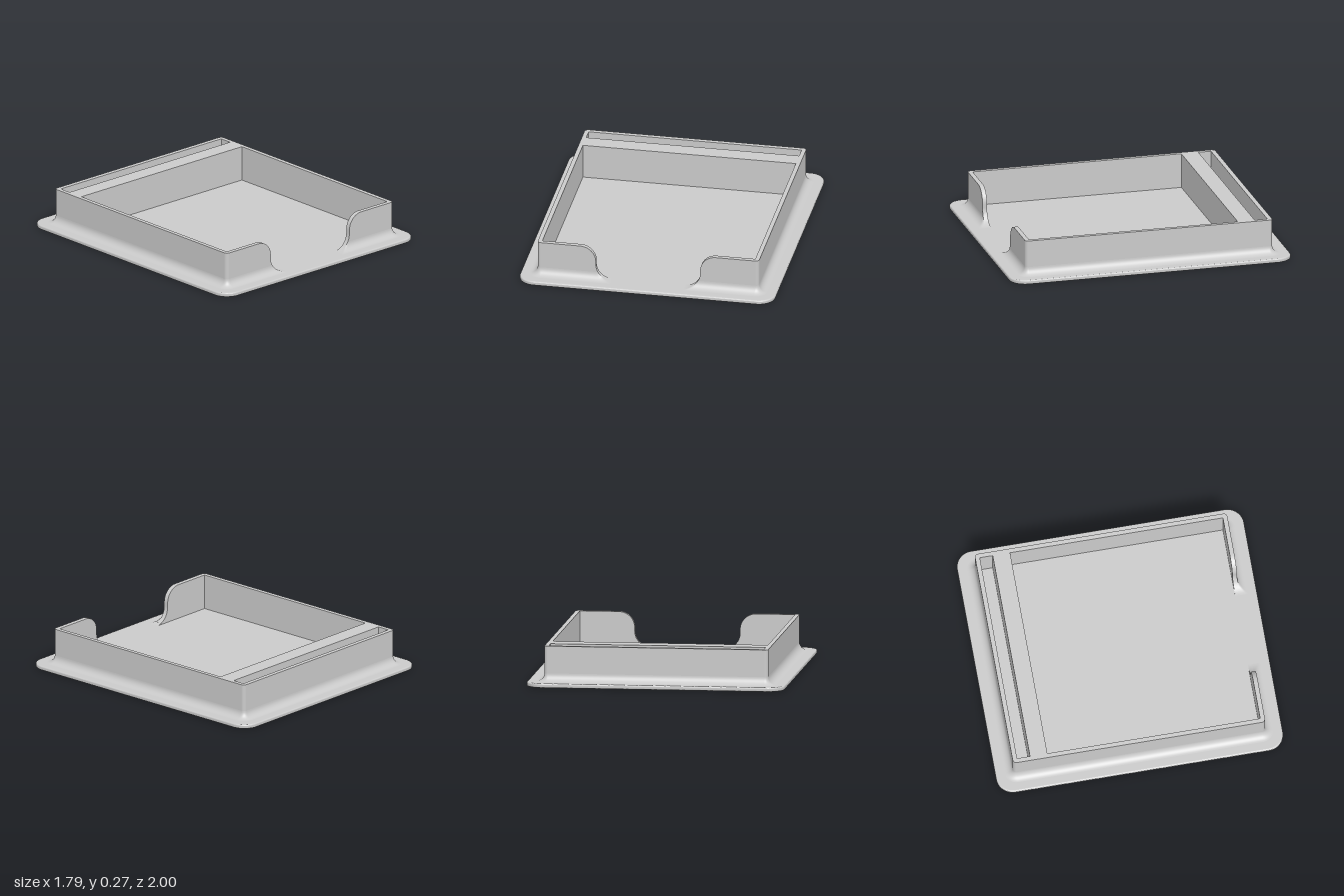
import * as THREE from 'three';

const FLOOR = 0.03, TOP = 0.274;            // plate top and rim height
const OX = 0.775, OZ = 0.88, OR = 0.025;    // outer wall
const IX = 0.745, IZ = 0.848, IBACK = -0.637; // inner tray
const CUT = 0.475, CR = 0.11, CLOW = 0.255; // front cutout curve
const FILLET = 0.055;

const grey = new THREE.MeshStandardMaterial({ color: 0xcacaca });
grey.name = 'light grey';

// Extrudes a plan shape (shape y = -z) upward from y0
function extrudeUp(shape, y0, depth, options = {}) {
  const g = new THREE.ExtrudeGeometry(shape, { depth, bevelEnabled: false, curveSegments: 20, ...options });
  return g.rotateX(-Math.PI / 2).translate(0, y0, 0);
}

function roundedRect(w, d, r) {
  const s = new THREE.Shape();
  s.absarc(w - r, d - r, r, 0, Math.PI / 2);
  s.absarc(r - w, d - r, r, Math.PI / 2, Math.PI);
  s.absarc(r - w, r - d, r, Math.PI, Math.PI * 1.5);
  s.absarc(w - r, r - d, r, Math.PI * 1.5, Math.PI * 2);
  s.closePath();
  return s;
}

// Height of the front lip at a given x
function lipHeight(x) {
  const a = Math.abs(x);
  if (a >= CUT) return TOP;
  if (a > CUT - CR) return TOP - CR + Math.sqrt(CR * CR - (CUT - a) ** 2);
  return FLOOR + CR - Math.sqrt(Math.max(0, CR * CR - (a - CLOW) ** 2));
}

// Rim: a C-shaped plan with the rear slot as a hole
function rimGeometry() {
  const s = new THREE.Shape();
  s.moveTo(CUT, -OZ).lineTo(OX - OR, -OZ);
  s.absarc(OX - OR, OR - OZ, OR, -Math.PI / 2, 0);
  s.absarc(OX - OR, OZ - OR, OR, 0, Math.PI / 2);
  s.absarc(OR - OX, OZ - OR, OR, Math.PI / 2, Math.PI);
  s.absarc(OR - OX, OR - OZ, OR, Math.PI, Math.PI * 1.5);
  s.lineTo(-CUT, -OZ).lineTo(-CUT, -IZ).lineTo(-IX, -IZ).lineTo(-IX, -IBACK);
  s.lineTo(IX, -IBACK).lineTo(IX, -IZ).lineTo(CUT, -IZ).closePath();
  const slot = new THREE.Path();
  slot.moveTo(-IX, 0.848).lineTo(IX, 0.848).lineTo(IX, 0.758).lineTo(-IX, 0.758).closePath();
  s.holes.push(slot);
  return extrudeUp(s, FLOOR, TOP - FLOOR);
}

// S-curved end of the front wall
function lipGeometry(side) {
  const s = new THREE.Shape();
  const steps = 20;
  s.moveTo(side * CUT, FLOOR).lineTo(side * CUT, TOP);
  for (let i = 1; i <= steps; i++) {
    const t = (i / steps) * Math.PI / 2;
    s.lineTo(side * (CUT - CR * Math.sin(t)), TOP - CR + CR * Math.cos(t));
  }
  for (let i = 0; i <= steps; i++) {
    const t = (i / steps) * Math.PI / 2;
    s.lineTo(side * (CLOW + CR * Math.cos(t)), FLOOR + CR - CR * Math.sin(t));
  }
  s.closePath();
  return new THREE.ExtrudeGeometry(s, { depth: OZ - IZ, bevelEnabled: false }).translate(0, 0, IZ);
}

// Concave fillet swept around the foot of the wall, trimmed by the cutout
function filletGeometry() {
  const half = [];
  for (let i = 0; i <= 40; i++) {
    half.push({ x: CLOW + (OX - OR - CLOW) * i / 40, z: OZ, nx: 0, nz: 1 });
  }
  for (const [cz, start] of [[OZ - OR, 0], [OR - OZ, Math.PI / 2]]) {
    for (let i = 0; i <= 8; i++) {
      const a = start + (i / 8) * Math.PI / 2;
      const nx = Math.sin(a), nz = Math.cos(a);
      half.push({ x: OX - OR + OR * nx, z: cz + OR * nz, nx, nz });
    }
  }
  const mirrored = half.map(p => ({ ...p, x: -p.x, nx: -p.nx })).reverse();
  const path = [...half, ...mirrored];
  const steps = 10, pos = [], index = [];
  path.forEach((p, i) => {
    for (let j = 0; j <= steps; j++) {
      const a = (j / steps) * Math.PI / 2;
      const d = FILLET * (1 - Math.cos(a));
      const y = FLOOR + FILLET * (1 - Math.sin(a));
      const limit = p.nz > 0.9 ? lipHeight(p.x) : TOP;
      pos.push(p.x + p.nx * d, Math.min(y, limit), p.z + p.nz * d);
      if (i < path.length - 1 && j < steps) {
        const q = i * (steps + 1) + j, r = q + steps + 1;
        index.push(q, q + 1, r, r, q + 1, r + 1);
      }
    }
  });
  const g = new THREE.BufferGeometry();
  g.setAttribute('position', new THREE.Float32BufferAttribute(pos, 3));
  g.setIndex(index);
  g.computeVertexNormals();
  return g;
}

export function createModel() {
  const group = new THREE.Group();
  const add = (name, geometry) => {
    const mesh = new THREE.Mesh(geometry, grey);
    mesh.name = name;
    group.add(mesh);
  };

  // Base plate with softened edges; its top is the floor of tray and slot
  add('basePlate', extrudeUp(roundedRect(0.893, 1, 0.115), 0.01, 0.01, {
    bevelEnabled: true, bevelThickness: 0.01, bevelSize: 0.01, bevelOffset: -0.01, bevelSegments: 6,
  }));

  // Walls around the tray, with an open front
  add('rim', rimGeometry());
  add('leftFrontLip', lipGeometry(1));
  add('rightFrontLip', lipGeometry(-1));
  add('wallFillet', filletGeometry());

  return group;
}
